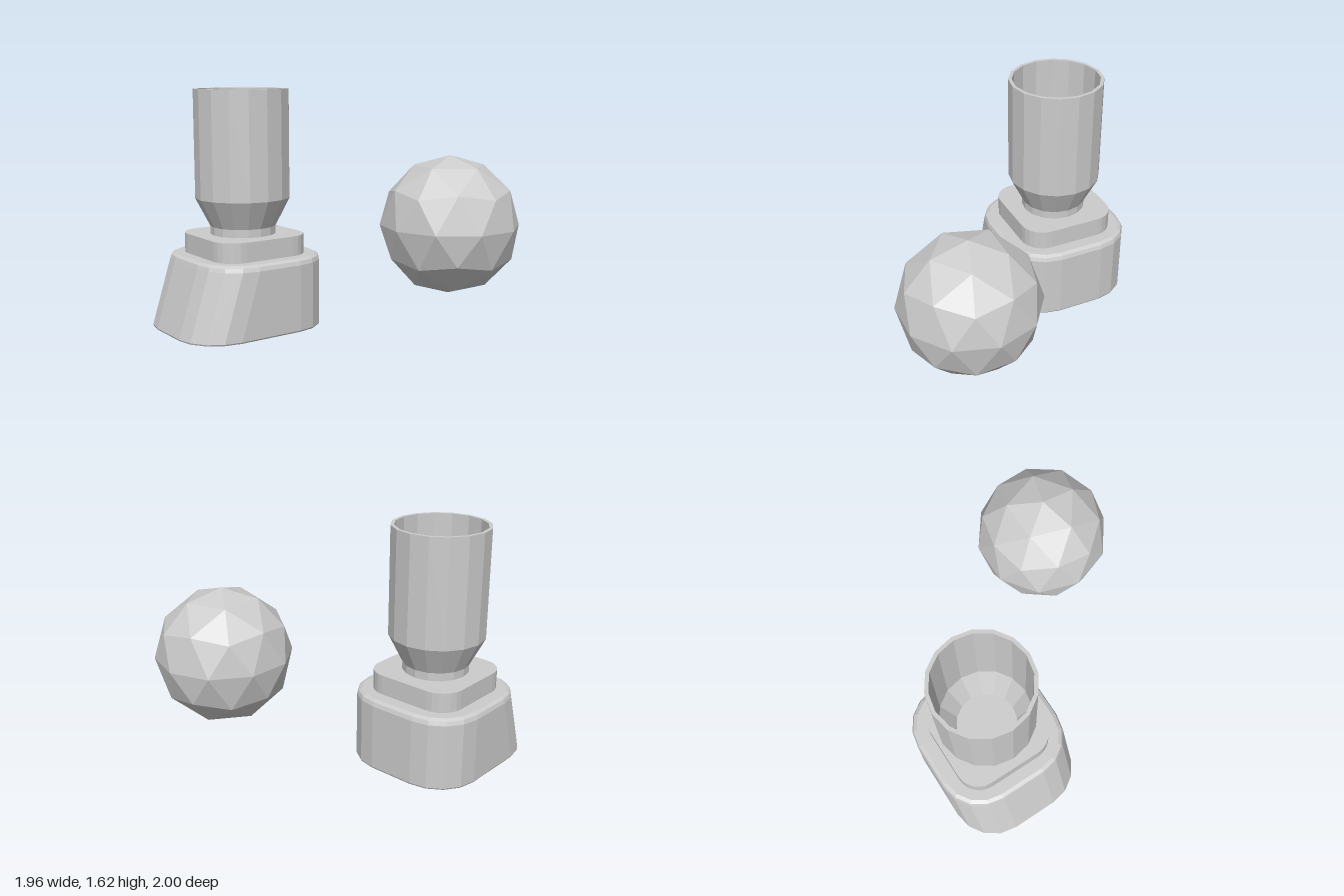
import * as THREE from 'three';

const material = new THREE.MeshStandardMaterial({ color: 0xcccccc, flatShading: true });

function part(name, geometry, x, y, z) {
  const flat = geometry.index ? geometry.toNonIndexed() : geometry;
  flat.computeVertexNormals();
  const mesh = new THREE.Mesh(flat, material);
  mesh.name = name;
  mesh.position.set(x, y, z);
  return mesh;
}

// Rounded rectangle lofted through levels of { y, inset, lean };
// lean pushes only the front half forward.
function roundedBlock(halfX, halfZ, radius, steps, levels) {
  const positions = [], index = [];
  const count = 4 * (steps + 1);
  const signs = [[1, 1], [-1, 1], [-1, -1], [1, -1]];
  for (const { y, inset = 0, lean = 0 } of levels) {
    const r = radius - inset;
    signs.forEach(([sx, sz], corner) => {
      for (let i = 0; i <= steps; i++) {
        const a = (corner + i / steps) * Math.PI / 2;
        positions.push(
          sx * (halfX - radius) + r * Math.cos(a), y,
          sz * (halfZ - radius) + r * Math.sin(a) + (sz > 0 ? lean : 0));
      }
    });
  }
  const last = (levels.length - 1) * count;
  const bottom = levels.length * count, top = bottom + 1;
  positions.push(0, levels[0].y, 0, 0, levels[levels.length - 1].y, 0);
  for (let j = 0; j < count; j++) {
    const k = (j + 1) % count;
    for (let i = 0; i < last; i += count) {
      const a = i + j, b = i + k, c = b + count, d = a + count;
      index.push(a, d, b, b, d, c);
    }
    index.push(bottom, j, k, top, last + k, last + j);
  }
  const geometry = new THREE.BufferGeometry();
  geometry.setAttribute('position', new THREE.Float32BufferAttribute(positions, 3));
  geometry.setIndex(index);
  return geometry;
}

export function createModel() {
  const model = new THREE.Group();
  model.name = 'cupStandAndBall';

  // Base with a sloping front and softened top edge
  model.add(part('base', roundedBlock(0.46, 0.458, 0.3, 4, [
    { y: 0, inset: 0.006, lean: 0.145 },
    { y: 0.01, lean: 0.143 },
    { y: 0.46 },
    { y: 0.487, inset: 0.01 },
    { y: 0.5, inset: 0.035 },
  ]), -0.52, 0, 0.398));

  // Smaller step on the base
  model.add(part('plinth', roundedBlock(0.342, 0.342, 0.16, 6, [
    { y: 0.49 }, { y: 0.635 },
  ]), -0.52, 0, 0.402));

  // Hollow cup: neck, flare, wall, rim, then the inside down to its floor
  const profile = [
    [0.227, 0.63], [0.227, 0.69], [0.327, 0.885], [0.327, 1.625],
    [0.303, 1.625], [0.303, 0.89], [0.202, 0.695], [0, 0.695],
  ].map(([r, y]) => new THREE.Vector2(r, y));
  model.add(part('cup', new THREE.LatheGeometry(profile, 16), -0.52, 0, 0.405));

  // Faceted ball, turned so one corner points straight up
  const ball = new THREE.IcosahedronGeometry(0.46, 1);
  ball.rotateZ(-Math.atan(2 / (1 + Math.sqrt(5))));
  model.add(part('ball', ball, 0.54, 0.74, -0.54));

  return model;
}
